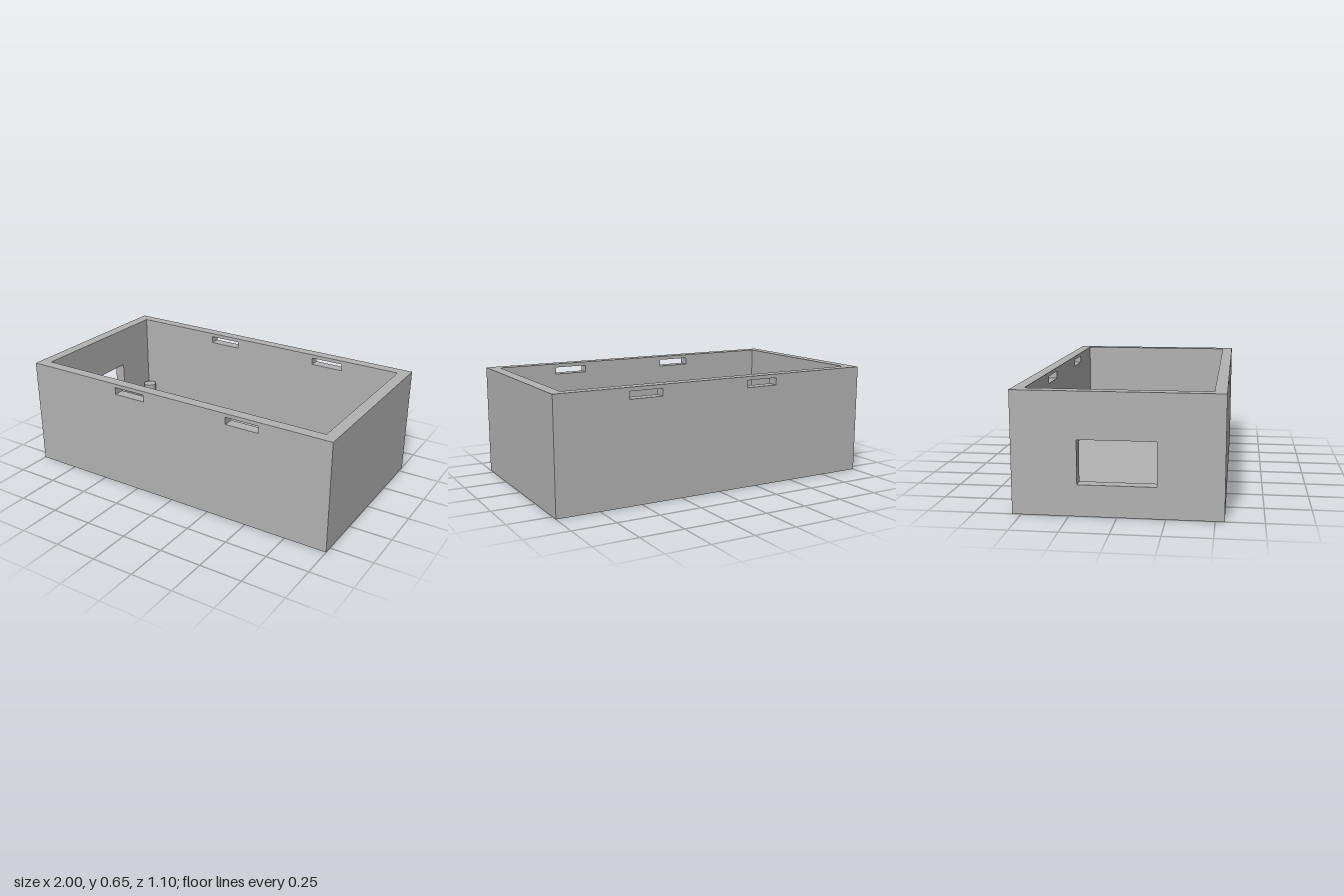
import * as THREE from 'three';
import { mergeGeometries } from 'three/addons/utils/BufferGeometryUtils.js';

// Outer and inner half sizes, height and floor level
const OX = 1, OZ = 0.548, IX = 0.933, IZ = 0.484, H = 0.652, FLOOR = 0.055;

function trace(path, [x0, y0, x1, y1]) {
  path.moveTo(x0, y0);
  path.lineTo(x1, y0);
  path.lineTo(x1, y1);
  path.lineTo(x0, y1);
  path.closePath();
  return path;
}

// Flat panel with rectangular openings, facing +z
function panel(rect, holes = []) {
  const shape = trace(new THREE.Shape(), rect);
  holes.forEach(h => shape.holes.push(trace(new THREE.Path(), h)));
  return new THREE.ShapeGeometry(shape);
}

// Turns a flat panel to face -z
function flip(geometry) {
  geometry.scale(1, 1, -1);
  geometry.index.array.reverse();
  return geometry;
}

// Wall facing +z: outer face, inner face and the reveals of each opening
function wallGeometry(outerHalf, innerHalf, outerZ, innerZ, holes) {
  const depth = outerZ - innerZ, midZ = (outerZ + innerZ) / 2;
  const parts = [
    panel([-outerHalf, 0, outerHalf, H], holes).translate(0, 0, outerZ),
    flip(panel([-innerHalf, FLOOR, innerHalf, H], holes)).translate(0, 0, innerZ),
  ];
  for (const [x0, y0, x1, y1] of holes) {
    const cx = (x0 + x1) / 2, cy = (y0 + y1) / 2;
    for (const s of [-1, 1]) {
      parts.push(
        new THREE.PlaneGeometry(x1 - x0, depth).rotateX(s * Math.PI / 2)
          .translate(cx, s < 0 ? y0 : y1, midZ),
        new THREE.PlaneGeometry(depth, y1 - y0).rotateY(-s * Math.PI / 2)
          .translate(s < 0 ? x0 : x1, cy, midZ));
    }
  }
  return mergeGeometries(parts);
}

export function createModel() {
  const model = new THREE.Group();
  model.name = 'enclosure';
  const grey = new THREE.MeshStandardMaterial({ color: 0xb2b2b2 });
  grey.name = 'grey plastic';

  const add = (name, geometry) => {
    const mesh = new THREE.Mesh(geometry, grey);
    mesh.name = name;
    model.add(mesh);
    return mesh;
  };

  // Long walls with two clip slots each
  const slots = [[-0.38, 0.588, -0.178, 0.63], [0.37, 0.588, 0.572, 0.63]];
  const mirrored = slots.map(([x0, y0, x1, y1]) => [-x1, y0, -x0, y1]);
  add('frontWall', wallGeometry(OX, IX, OZ, IZ, slots));
  add('backWall', wallGeometry(OX, IX, OZ, IZ, mirrored)).rotation.y = Math.PI;

  // End walls, one with the port opening
  add('plainEndWall', wallGeometry(OZ, IZ, OX, IX, [])).rotation.y = Math.PI / 2;
  add('portEndWall', wallGeometry(OZ, IZ, OX, IX, [[-0.205, 0.168, 0.205, 0.403]]))
    .rotation.y = -Math.PI / 2;

  // Top rim, floor and underside
  add('rim', panel([-OX, -OZ, OX, OZ], [[-IX, -IZ, IX, IZ]])
    .rotateX(-Math.PI / 2).translate(0, H, 0));
  add('floor', panel([-IX, -IZ, IX, IZ]).rotateX(-Math.PI / 2).translate(0, FLOOR, 0));
  add('underside', panel([-OX, -OZ, OX, OZ]).rotateX(Math.PI / 2));

  // Mounting posts in the corners
  const postHeight = 0.195 - FLOOR;
  const post = new THREE.CylinderGeometry(0.041, 0.041, postHeight, 40);
  for (const x of [-0.884, 0.884]) {
    for (const z of [-0.432, 0.432]) {
      add('mountingPost', post).position.set(x, FLOOR + postHeight / 2, z);
    }
  }
  return model;
}
